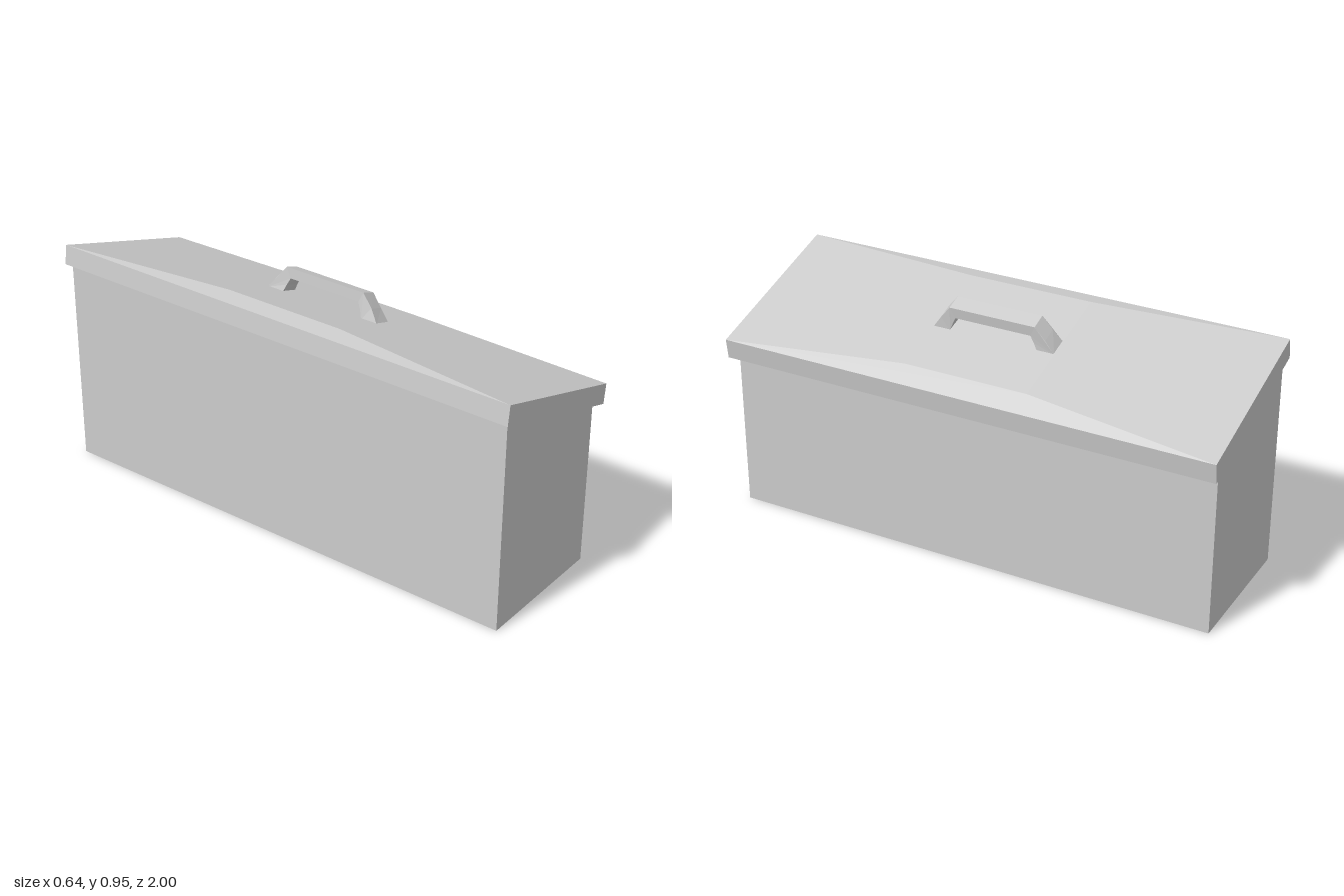
import * as THREE from 'three';

const material = new THREE.MeshStandardMaterial({ color: 0xcccccc, flatShading: true, side: THREE.DoubleSide });

// A rectangular ring: left edge (x, y), right edge (x, y), half depth in z
const ring = (xl, yl, xr, yr, z) => [[xl, yl, z], [xr, yr, z], [xr, yr, -z], [xl, yl, -z]];

// Joins stacked rings with flat quads, with optional bottom and a top cap
function loft(name, rings, bottom) {
  const pos = [];
  const quad = (a, b, c, d) => pos.push(...a, ...b, ...c, ...a, ...c, ...d);
  for (let i = 0; i < rings.length - 1; i++) {
    const lo = rings[i], hi = rings[i + 1];
    for (let j = 0; j < 4; j++) {
      const k = (j + 1) % 4;
      quad(lo[j], lo[k], hi[k], hi[j]);
    }
  }
  quad(...rings[rings.length - 1]);
  if (bottom) quad(...[...rings[0]].reverse());
  const geo = new THREE.BufferGeometry();
  geo.setAttribute('position', new THREE.Float32BufferAttribute(pos, 3));
  geo.computeVertexNormals();
  const mesh = new THREE.Mesh(geo, material);
  mesh.name = name;
  return mesh;
}

// Arched handle: outline in (z, height), then bent and seated on the sloping lid
function makeHandle() {
  const shape = new THREE.Shape([
    [-0.25, 0], [-0.215, 0.5], [-0.175, 1], [0.175, 1], [0.215, 0.5], [0.25, 0],
    [0.18, 0], [0.168, 0.3], [0.155, 0.58], [-0.155, 0.58], [-0.168, 0.3], [-0.18, 0],
  ].map(([z, h]) => new THREE.Vector2(z, h)));
  const geo = new THREE.ExtrudeGeometry(shape, { depth: 1, bevelEnabled: false });
  const p = geo.attributes.position;
  for (let i = 0; i < p.count; i++) {
    const z = p.getX(i), h = p.getY(i), s = p.getZ(i);
    const left = -0.023 + 0.02 * h * (2 - h);
    const right = 0.048 + 0.009 * h * h;
    const y = THREE.MathUtils.lerp(0.85, 0.828, s) + 0.096 * h;
    p.setXYZ(i, THREE.MathUtils.lerp(left, right, s), y, -z);
  }
  geo.computeVertexNormals();
  const mesh = new THREE.Mesh(geo, material);
  mesh.name = 'handle';
  return mesh;
}

export function createModel() {
  const model = new THREE.Group();
  model.name = 'slopedBin';

  // Box with a slanted top
  model.add(loft('body', [
    ring(-0.3, 0, 0.26, 0, 0.985),
    ring(-0.3, 0.83, 0.26, 0.655, 0.985),
  ], true));

  // Hollow overhanging lid with a low hipped top
  model.add(loft('lid', [
    ring(-0.323, 0.836, 0.311, 0.637, 1),
    ring(-0.313, 0.913, 0.321, 0.715, 1),
    ring(-0.24, 0.922, 0.257, 0.766, 0.25),
  ], false));

  model.add(makeHandle());
  return model;
}
